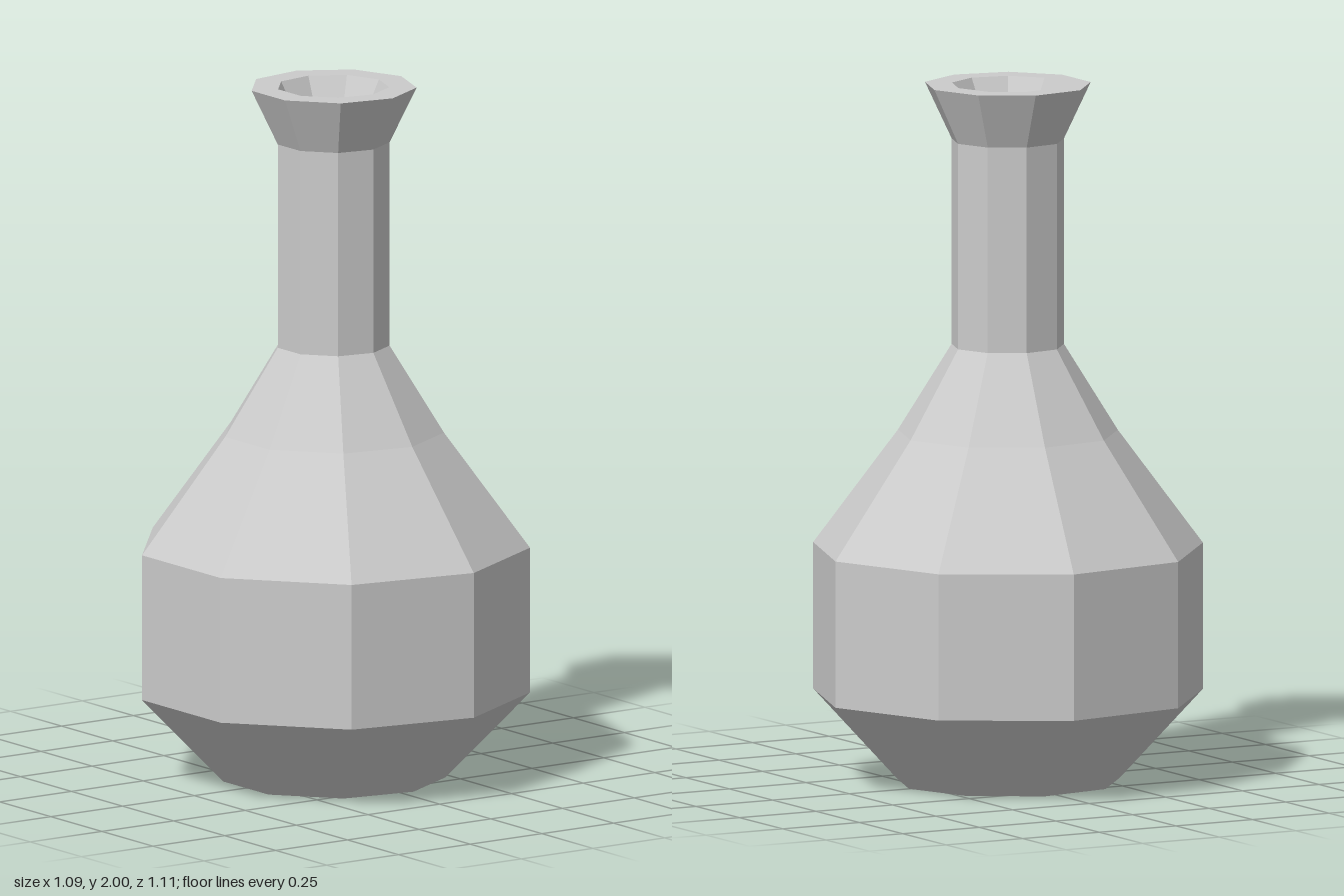
import * as THREE from 'three';

const SIDES = 9;

export function createModel() {
  const model = new THREE.Group();

  // Closed wall profile [radius, height]: up the outside, over the rim, down the inside
  const profile = [
    [0, 0],
    [0.322, 0], [0.562, 0.25], [0.562, 0.67], // base and belly
    [0.317, 1.0], [0.162, 1.25],              // shoulder
    [0.162, 1.84], [0.239, 2.0],              // neck and flared lip
    [0.161, 2.0], [0.081, 1.84],              // rim and mouth funnel
    [0.081, 1.23], [0.25, 0.95],              // inner neck and shoulder
    [0.482, 0.64], [0.482, 0.28], [0.29, 0.08], // inner belly
    [0, 0.08],                                // inner floor
  ].map(([r, y]) => new THREE.Vector2(r, y));

  const material = new THREE.MeshStandardMaterial({ color: 0xcccccc, flatShading: true });
  // One corner of the nine-sided ring points along +x
  const flask = new THREE.Mesh(new THREE.LatheGeometry(profile, SIDES, Math.PI / 2), material);
  flask.name = 'flask';
  // An odd-sided ring is wider on its corner side, so shift it to centre its bounds
  flask.position.x = -0.017;
  model.add(flask);

  return model;
}
